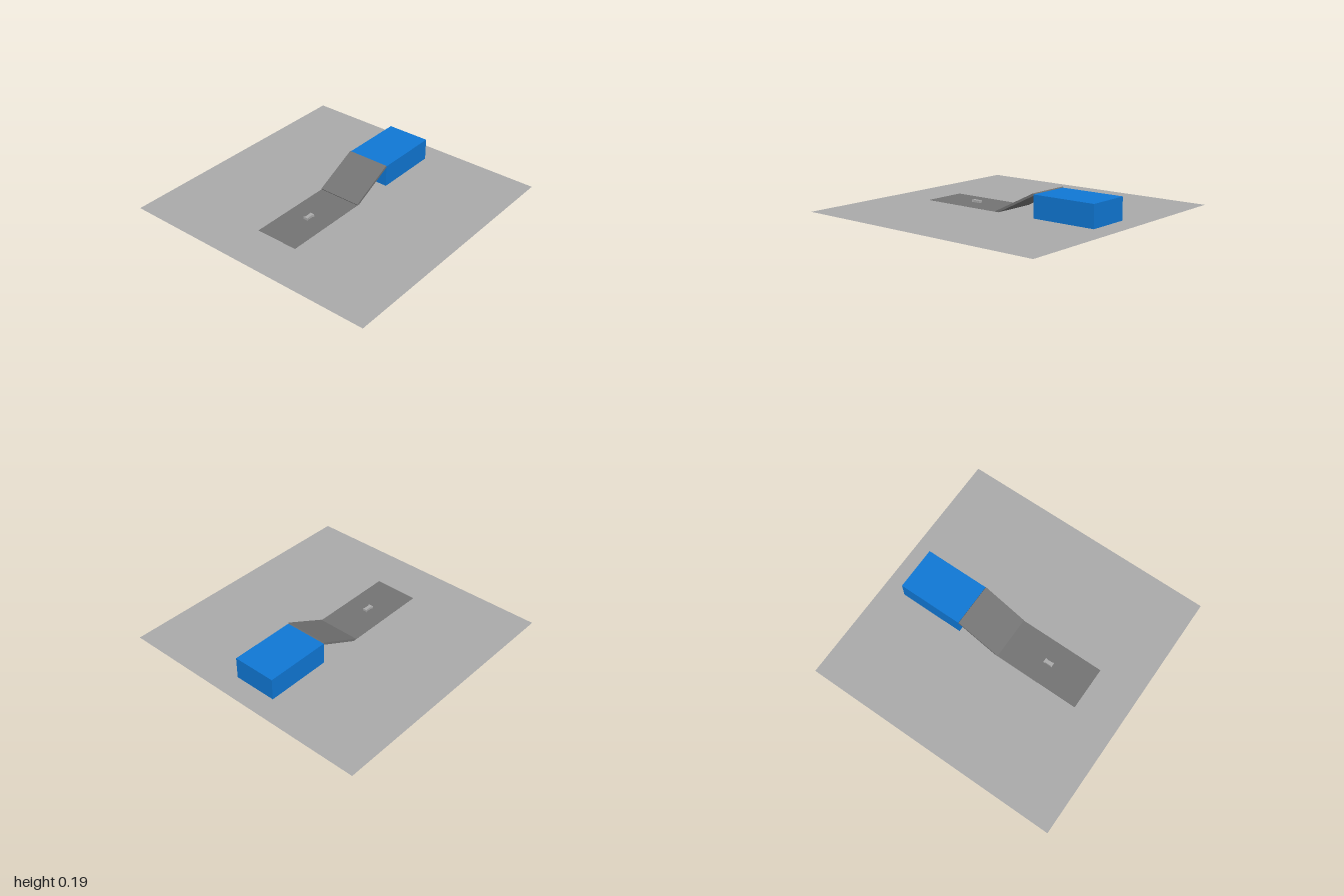
import * as THREE from 'three';

export function createModel() {
  const model = new THREE.Group();
  const U = 1 / 6, T = U / 10; // layout unit and slab thickness
  const lightGrey = new THREE.MeshStandardMaterial({ color: 0xaaaaaa, side: THREE.DoubleSide });
  lightGrey.name = 'light grey';
  const darkGrey = new THREE.MeshStandardMaterial({ color: 0x737373 });
  darkGrey.name = 'dark grey';
  const blue = new THREE.MeshStandardMaterial({ color: 0x1077d4 });
  blue.name = 'blue';

  function add(name, geometry, material, x, y, z = 0) {
    const mesh = new THREE.Mesh(geometry, material);
    mesh.name = name;
    mesh.position.set(x, y, z);
    model.add(mesh);
    return mesh;
  }

  // Thin ground sheet, level with the top of the slab
  add('ground', new THREE.PlaneGeometry(2, 2).rotateX(-Math.PI / 2), lightGrey, 0, T);

  // Slab sunk into the ground, showing just at its surface
  add('slab', new THREE.BoxGeometry(4 * U, T + 0.0005, 2 * U), darkGrey, -2 * U, (T + 0.0005) / 2);

  // Ramp climbing from the slab to the top of the platform
  const ramp = add('ramp', new THREE.BoxGeometry(Math.hypot(2, 1) * U, T, 2 * U), darkGrey, U, T + U / 2);
  ramp.rotation.z = Math.atan2(1, 2);

  // Raised platform, its underside just breaking the ground sheet
  add('platform', new THREE.BoxGeometry(3 * U, U + 0.0005, 2 * U), blue, 3.5 * U, T + U / 2 - 0.00025);

  // Small waisted block resting on the slab
  const outline = new THREE.Shape([
    [-0.034, -0.019], [-0.021, -0.013], [0.021, -0.013], [0.034, -0.019],
    [0.034, 0.019], [0.021, 0.013], [-0.021, 0.013], [-0.034, 0.019],
  ].map(([x, y]) => new THREE.Vector2(x, y)));
  const block = new THREE.ExtrudeGeometry(outline, { depth: 0.018, bevelEnabled: false });
  add('waistedBlock', block.rotateX(-Math.PI / 2), lightGrey, -2 * U, T);

  return model;
}
